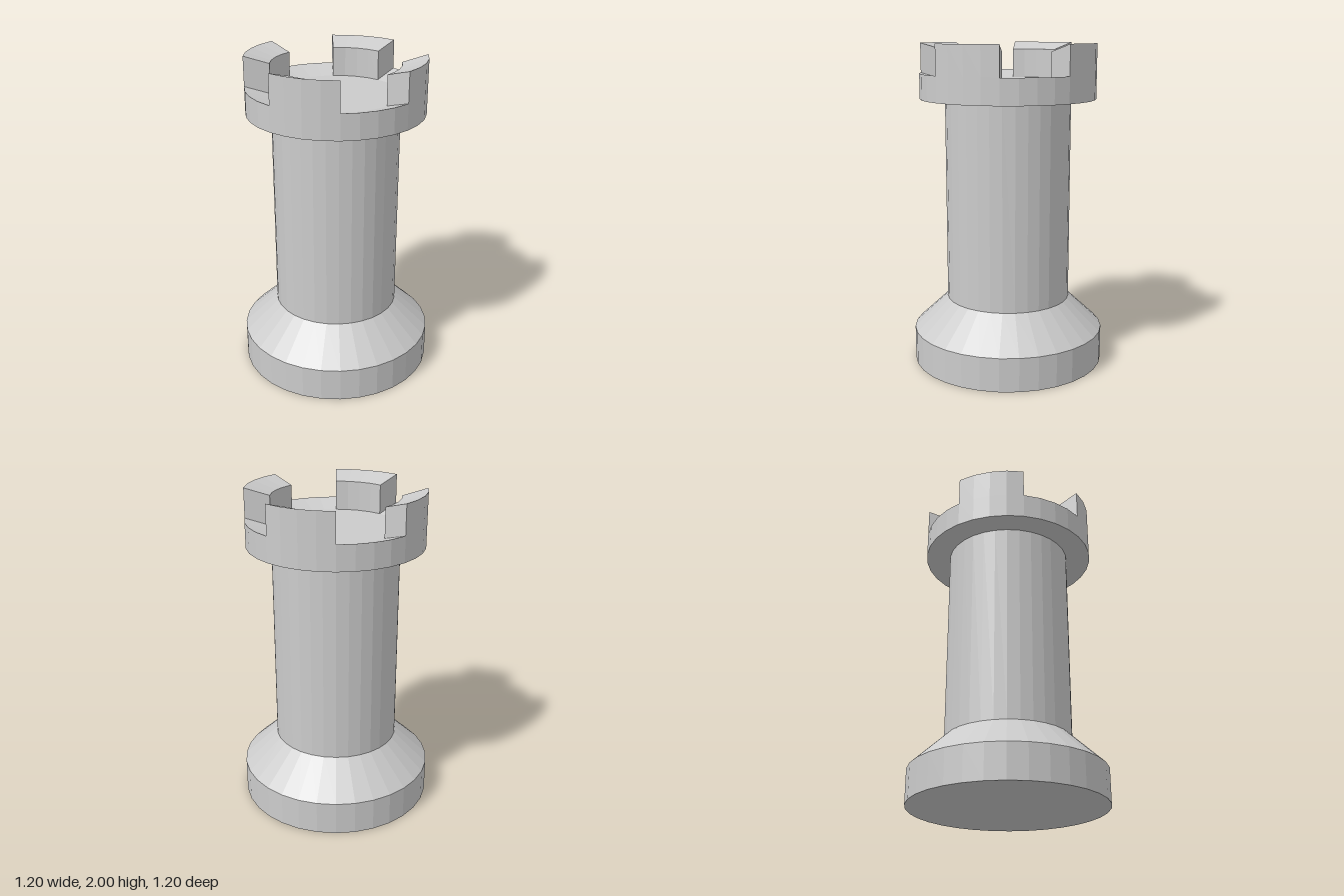
import * as THREE from 'three';
import { mergeGeometries } from 'three/addons/utils/BufferGeometryUtils.js';

const SIDES = 32;
const STEP = (Math.PI * 2) / SIDES;
const R_BASE = 0.6, R_COLUMN = 0.387, R_CROWN = 0.54;

const material = new THREE.MeshStandardMaterial({ color: 0xcccccc, flatShading: true });

const toPoints = (pairs) => pairs.map(([r, y]) => new THREE.Vector2(r, y));

// Faceted ring of "sides" steps turned from a radius/height profile
function turn(profile, sides = SIDES, start = 0) {
  const g = new THREE.LatheGeometry(toPoints(profile), sides, start * STEP, sides * STEP).toNonIndexed();
  g.computeVertexNormals();
  return g;
}

// Flat end face of a partial ring, at the given step around the axis
function endCap(profile, step, isEnd) {
  const g = new THREE.ShapeGeometry(new THREE.Shape(toPoints(profile)));
  if (isEnd) {
    const idx = Array.from(g.index.array).reverse();
    g.setIndex(idx);
  }
  const flat = g.rotateY(step * STEP - Math.PI / 2).toNonIndexed();
  flat.computeVertexNormals();
  return flat;
}

function addMesh(group, name, geometry) {
  const mesh = new THREE.Mesh(geometry, material);
  mesh.name = name;
  group.add(mesh);
  return mesh;
}

export function createModel() {
  const model = new THREE.Group();
  model.name = 'rook';

  // Foot with a conical shoulder
  addMesh(model, 'base', turn([[0, 0], [R_BASE, 0], [R_BASE, 0.21], [R_COLUMN, 0.41]]));

  // Straight shaft
  addMesh(model, 'column', turn([[R_COLUMN, 0.41], [R_COLUMN, 1.665]]));

  // Collar with a rim sloping in to a flat floor
  addMesh(model, 'crown', turn([
    [R_COLUMN, 1.665], [R_CROWN, 1.665], [R_CROWN, 1.82], [R_COLUMN, 1.775], [0, 1.775],
  ]));

  // Four battlements, each four sides wide, tops sloping inward
  const section = [[R_COLUMN, 1.775], [R_CROWN, 1.82], [R_CROWN, 2], [R_COLUMN, 1.955]];
  const battlement = mergeGeometries([
    turn([...section.slice(1), section[0]], 4, -1),
    endCap(section, -1, false),
    endCap(section, 3, true),
  ]);
  const battlements = new THREE.Group();
  battlements.name = 'battlements';
  for (let i = 0; i < 4; i++) {
    addMesh(battlements, `battlement${i + 1}`, battlement).rotation.y = (i * Math.PI) / 2;
  }
  model.add(battlements);

  return model;
}
